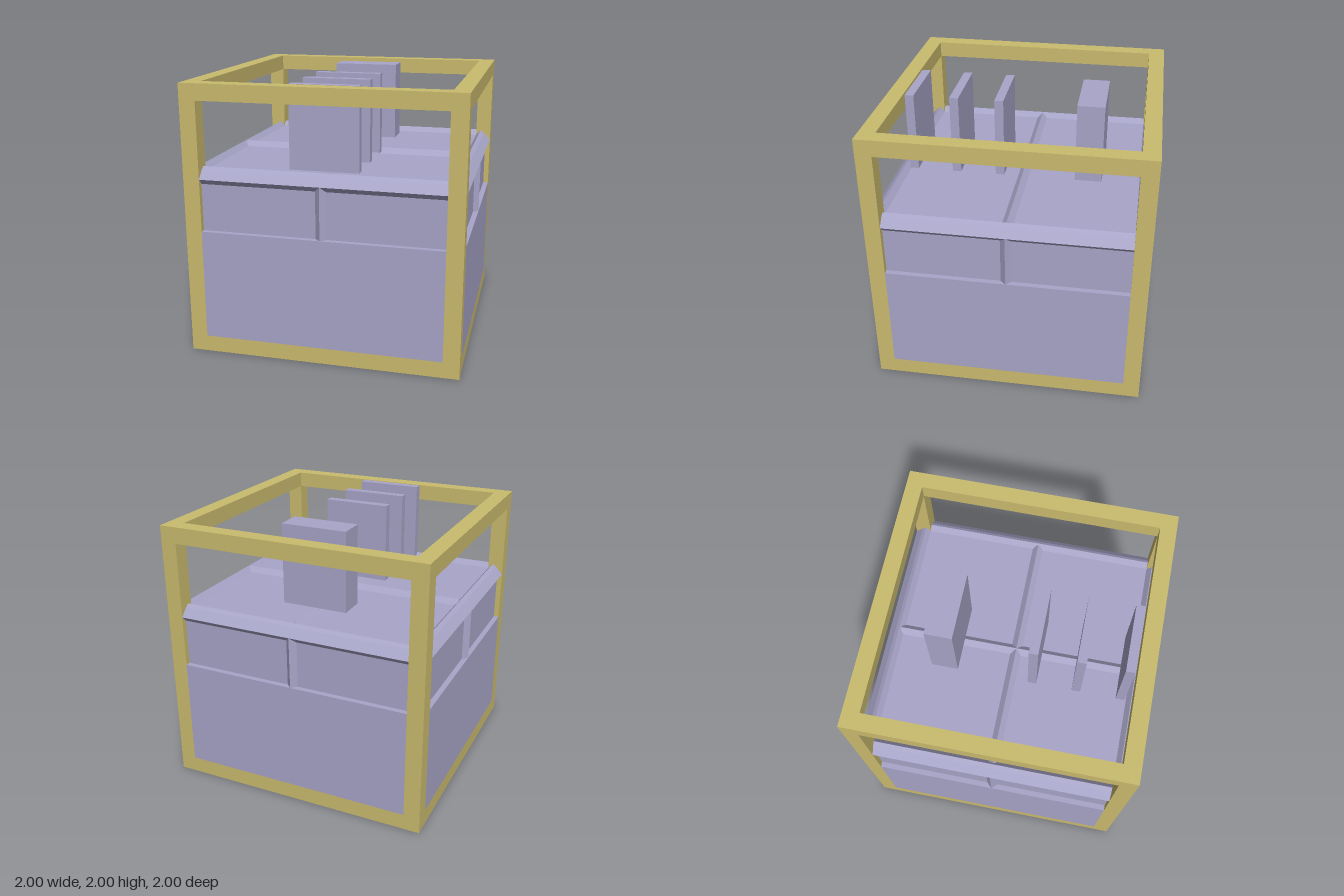
import * as THREE from 'three';

export function createModel() {
  const model = new THREE.Group();
  model.name = 'framedCube';
  const tan = new THREE.MeshStandardMaterial({ color: 0xcabb6e });
  tan.name = 'tan frame';
  const lavender = new THREE.MeshStandardMaterial({ color: 0xa8a5c8 });
  lavender.name = 'lavender body';

  const add = (name, geo, mat, x, y, z) => {
    const mesh = new THREE.Mesh(geo, mat);
    mesh.name = name;
    mesh.position.set(x, y, z);
    model.add(mesh);
    return mesh;
  };
  const box = (name, mat, w, h, d, x, y, z) => add(name, new THREE.BoxGeometry(w, h, d), mat, x, y, z);
  const faceted = (geo) => {
    const g = geo.toNonIndexed();
    g.computeVertexNormals();
    return g;
  };

  // Outer frame: four posts and two square rings of rails
  const T = 0.12, I = 2 - 2 * T, C = 1 - T / 2;
  for (const s of [-1, 1]) {
    for (const t of [-1, 1]) box('post', tan, T, 2, T, s * C, 1, t * C);
    for (const y of [T / 2, 2 - T / 2]) {
      box('sideRail', tan, T, T, I, s * C, y, 0);
      box('crossRail', tan, I, T, T, 0, y, s * C);
    }
  }

  // Lower body, flush with the frame openings on every side
  const H = 0.935;
  box('lowerBodyCore', lavender, I, H, I, 0, H / 2, 0);
  for (const s of [-1, 1]) {
    box('lowerSidePanel', lavender, T, H - T, I, s * C, (H + T) / 2, 0);
    box('lowerEndPanel', lavender, I, H - T, T, 0, (H + T) / 2, s * C);
  }

  // Upper block: square section with a pointed bead around its top edge
  const profile = [
    [0.96, 0.92], [0.96, 1.28], [1, 1.32], [0.944, 1.38], [0.915, 1.4], [0.88, 1.36], [0, 1.36],
  ].map(([r, y]) => new THREE.Vector2(r * Math.SQRT2, y));
  add('upperBlock', faceted(new THREE.LatheGeometry(profile, 4, Math.PI / 4)), lavender, 0, 0, 0);

  // Pointed ridges: one up the middle of each wall, two crossing on the top
  const ridge = (length) => faceted(new THREE.CylinderGeometry(0.04, 0.04, length, 4));
  for (const [x, z] of [[0, 1], [0, -1], [1, 0], [-1, 0]]) {
    add('wallRidge', ridge(0.4), lavender, x * 0.96, 1.12, z * 0.96);
  }
  add('topRidgeAcross', ridge(1.8), lavender, 0, 1.36, 0).rotation.z = Math.PI / 2;
  add('topRidgeAlong', ridge(1.8), lavender, 0, 1.36, 0).rotation.x = Math.PI / 2;

  // Upright slabs resting on the ridges
  for (const [z, depth] of [[-0.5, 0.2], [0.167, 0.066], [0.5, 0.066], [0.833, 0.066]]) {
    box('slab', lavender, 0.5, 0.6, depth, 0, 1.7, z);
  }
  return model;
}
